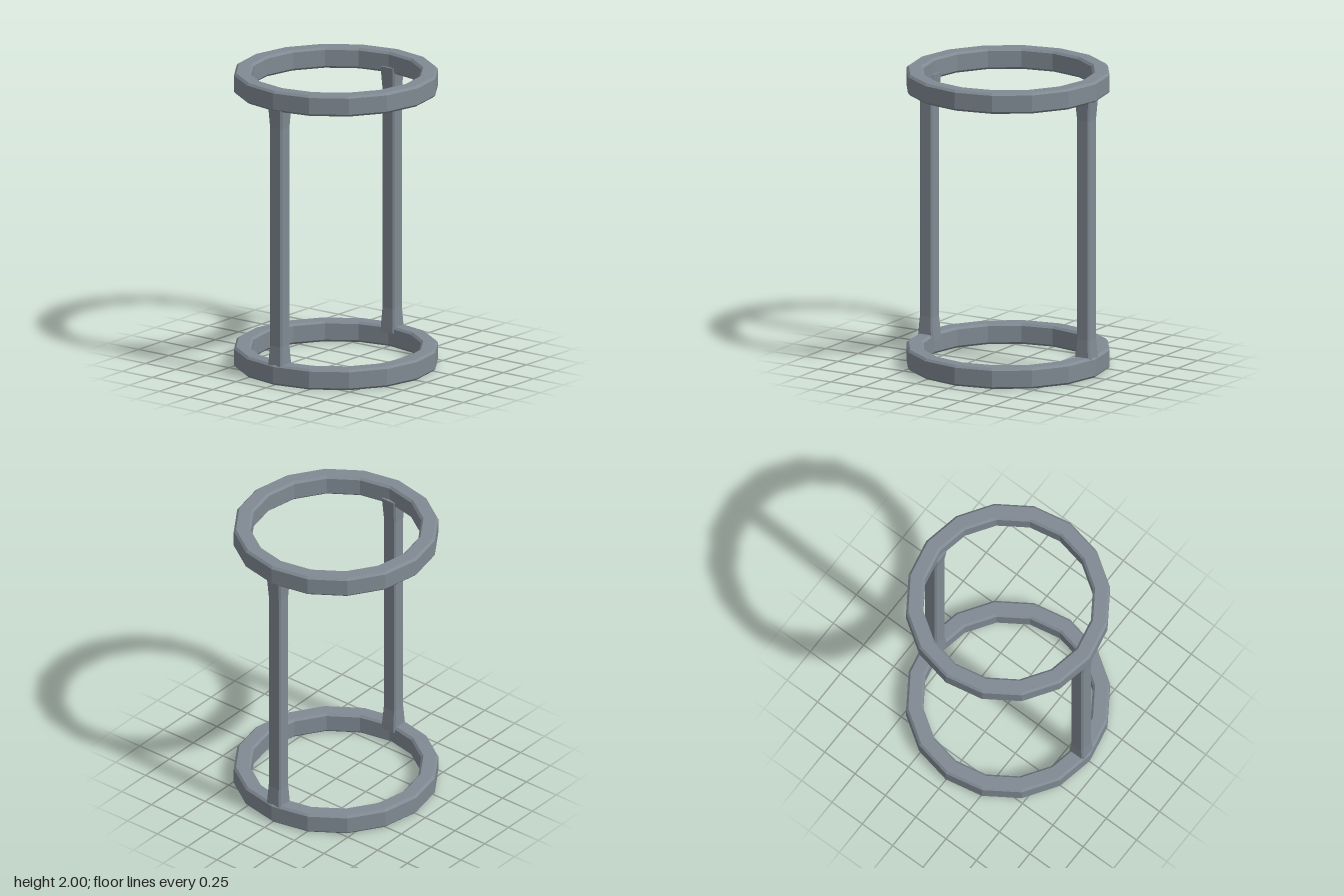
import * as THREE from 'three';

// Octagonal (chamfered rectangle) section with half sizes a, b and chamfer c
function section(a, b, c) {
  return [[a, -b + c], [a, b - c], [a - c, b], [-a + c, b],
    [-a, b - c], [-a, -b + c], [-a + c, -b], [a - c, -b]];
}

// Loft through sections stacked along y, capped at both ends
function loft(levels) {
  const pos = [], index = [], n = 8;
  for (const [y, a, b, c] of levels)
    for (const [x, z] of section(a, b, c)) pos.push(x, y, z);
  for (let k = 0; k < levels.length - 1; k++)
    for (let i = 0; i < n; i++) {
      const p = k * n + i, q = k * n + (i + 1) % n;
      index.push(p, p + n, q, q, p + n, q + n);
    }
  const top = (levels.length - 1) * n;
  for (let i = 1; i < n - 1; i++) {
    index.push(0, i, i + 1);
    index.push(top, top + i + 1, top + i);
  }
  const g = new THREE.BufferGeometry();
  g.setAttribute('position', new THREE.Float32BufferAttribute(pos, 3));
  g.setIndex(index);
  g.computeVertexNormals();
  return g;
}

export function createModel() {
  const group = new THREE.Group();
  const metal = new THREE.MeshStandardMaterial({ color: 0x808a93, flatShading: true });
  metal.name = 'grey metal';

  // Sixteen-sided hoops with chamfered edges
  const ro = 0.675, ri = 0.562, h = 0.14, c = 0.015;
  const profile = [
    [ri + c, 0], [ro - c, 0], [ro, c], [ro, h - c], [ro - c, h],
    [ri + c, h], [ri, h - c], [ri, c], [ri + c, 0],
  ].map(([x, y]) => new THREE.Vector2(x, y));
  const hoop = new THREE.LatheGeometry(profile, 16);
  for (const [name, y] of [['bottomRing', 0], ['topRing', 2 - h]]) {
    const ring = new THREE.Mesh(hoop, metal);
    ring.name = name;
    ring.position.y = y;
    group.add(ring);
  }

  // Upright posts, flared where they enter the rings
  const post = loft([
    [0.1, 0.061, 0.06, 0.012], [0.14, 0.058, 0.058, 0.012], [0.26, 0.048, 0.051, 0.01],
    [1.74, 0.048, 0.051, 0.01], [1.86, 0.058, 0.058, 0.012], [1.9, 0.061, 0.06, 0.012],
  ]);
  for (const [name, side] of [['leftPost', 1], ['rightPost', -1]]) {
    const mesh = new THREE.Mesh(post, metal);
    mesh.name = name;
    mesh.position.x = side * 0.604;
    group.add(mesh);
  }
  return group;
}
